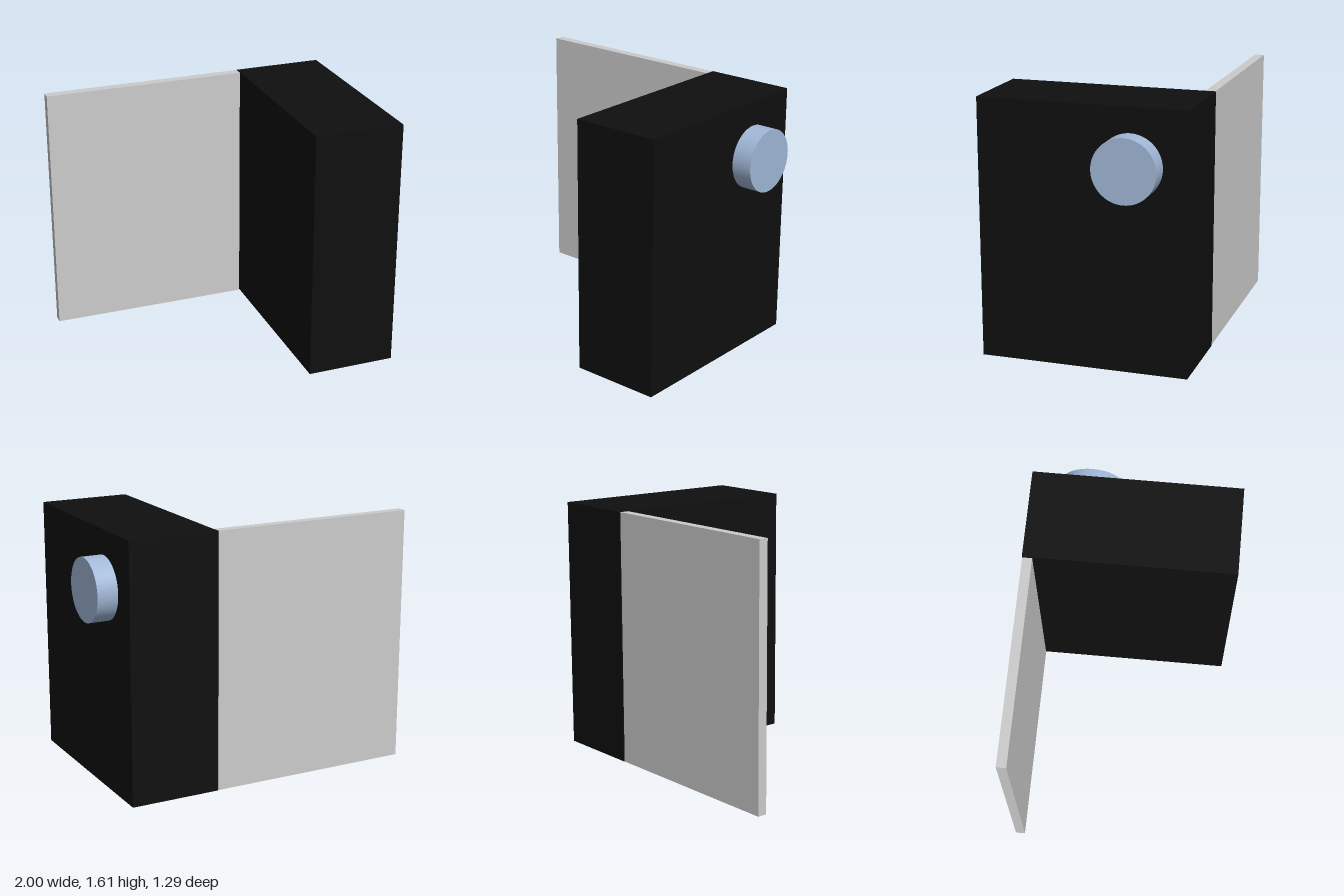
import * as THREE from 'three';

export function createModel() {
  const model = new THREE.Group();

  const add = (name, geometry, color, x, y, z) => {
    const mesh = new THREE.Mesh(geometry, new THREE.MeshStandardMaterial({ color }));
    mesh.name = name;
    mesh.position.set(x, y, z);
    model.add(mesh);
    return mesh;
  };

  const height = 1.605;

  // Solid dark block
  add('body', new THREE.BoxGeometry(0.568, height, 1.29), 0x0f0f0f, 0.587, height / 2, 0);

  // Thin panel swung open along the back edge
  add('door', new THREE.BoxGeometry(1.298, height, 0.06), 0xcccccc, -0.351, height / 2, -0.612);

  // Round knob on the side, axis along x
  const knob = add('knob', new THREE.CylinderGeometry(0.195, 0.195, 0.13, 64), 0xa0b7d6, 0.935, 1.257, -0.294);
  knob.rotation.z = -Math.PI / 2;

  return model;
}
